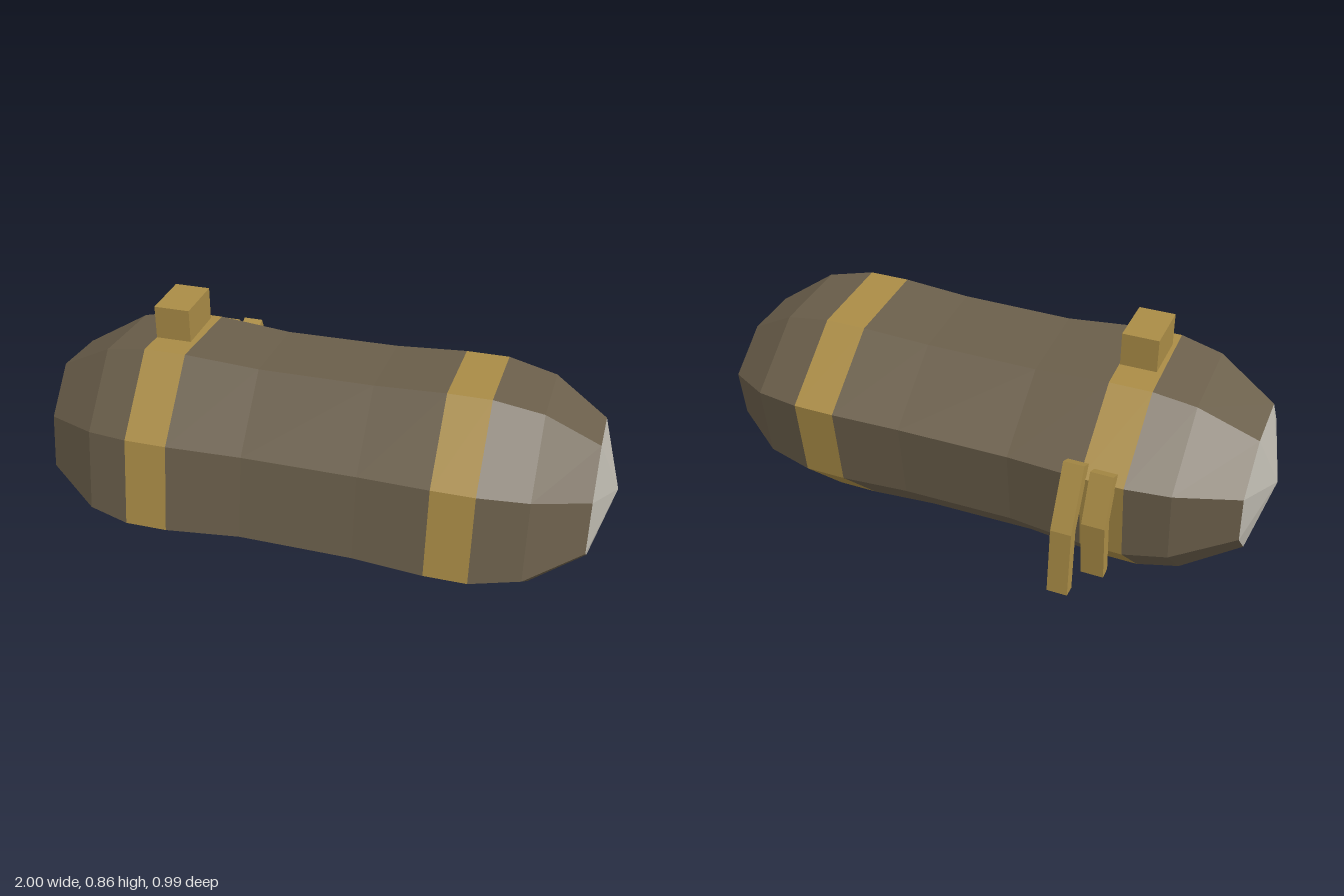
import * as THREE from 'three';

const CY = 0.37, CZ = 0.06;

// Irregular eight-sided cross-section as [z, y]
const SECTION = [
  [0.235, 0.745], [-0.105, 0.722], [-0.365, 0.52], [-0.327, 0.223],
  [-0.11, 0.003], [0.23, 0.003], [0.495, 0.208], [0.445, 0.51],
];

// Stations along the roll as [x, scale of the cross-section]
const STATIONS = [
  [-1, 0], [-0.935, 0.61], [-0.735, 0.92], [-0.59, 1], [-0.445, 1], [-0.19, 0.945],
  [0.2, 0.953], [0.44, 0.99], [0.585, 0.99], [0.75, 0.895], [0.93, 0.588], [1, 0],
];

// Skin between two stations; a zero scale closes to a point
function loft(first, last) {
  const pos = [];
  const point = (s, k) => {
    const [x, r] = STATIONS[s], [z, y] = SECTION[k % SECTION.length];
    return [x, CY + (y - CY) * r, CZ + (z - CZ) * r];
  };
  for (let s = first; s < last; s++) {
    for (let k = 0; k < SECTION.length; k++) {
      const a = point(s, k), b = point(s, k + 1), c = point(s + 1, k + 1), d = point(s + 1, k);
      if (STATIONS[s + 1][1] > 0) pos.push(...a, ...d, ...c);
      if (STATIONS[s][1] > 0) pos.push(...a, ...c, ...b);
    }
  }
  const geo = new THREE.BufferGeometry();
  geo.setAttribute('position', new THREE.Float32BufferAttribute(pos, 3));
  geo.computeVertexNormals();
  return geo;
}

// Side outline [z, y] extruded along x from x0 to x1
function strapTail(outline, x0, x1) {
  const shape = new THREE.Shape(outline.map(([z, y]) => new THREE.Vector2(-z, y)));
  const geo = new THREE.ExtrudeGeometry(shape, { depth: x1 - x0, bevelEnabled: false });
  return geo.rotateY(Math.PI / 2).translate(x0, 0, 0);
}

export function createModel() {
  const group = new THREE.Group();
  const material = (name, color) => {
    const m = new THREE.MeshStandardMaterial({ color, flatShading: true });
    m.name = name;
    return m;
  };
  const cloth = material('brown cloth', 0x6b5f4b);
  const strap = material('tan strap', 0xaa8c46);
  const lining = material('pale lining', 0xbab6ac);
  const add = (name, geo, mat) => {
    const mesh = new THREE.Mesh(geo, mat);
    mesh.name = name;
    group.add(mesh);
  };

  // Roll, straps and end caps share one continuous skin
  add('rightEndCap', loft(0, 1), lining);
  add('rightBody', loft(1, 3), cloth);
  add('rightStrap', loft(3, 4), strap);
  add('middleBody', loft(4, 7), cloth);
  add('leftStrap', loft(7, 8), strap);
  add('leftBody', loft(8, 10), cloth);
  add('leftEndCap', loft(10, 11), lining);

  // Buckle block above the strap
  add('buckle', new THREE.BoxGeometry(0.123, 0.115, 0.186).translate(-0.518, 0.808, 0.062), strap);

  // Two bent strap tails hanging at the back
  add('longStrapTail', strapTail([
    [-0.38, 0.583], [-0.335, 0.562], [-0.438, 0.368], [-0.451, 0.138], [-0.494, 0.14], [-0.48, 0.38],
  ], -0.465, -0.395), strap);
  add('shortStrapTail', strapTail([
    [-0.383, 0.57], [-0.34, 0.552], [-0.402, 0.41], [-0.385, 0.199], [-0.427, 0.196], [-0.447, 0.41],
  ], -0.562, -0.485), strap);

  return group;
}
